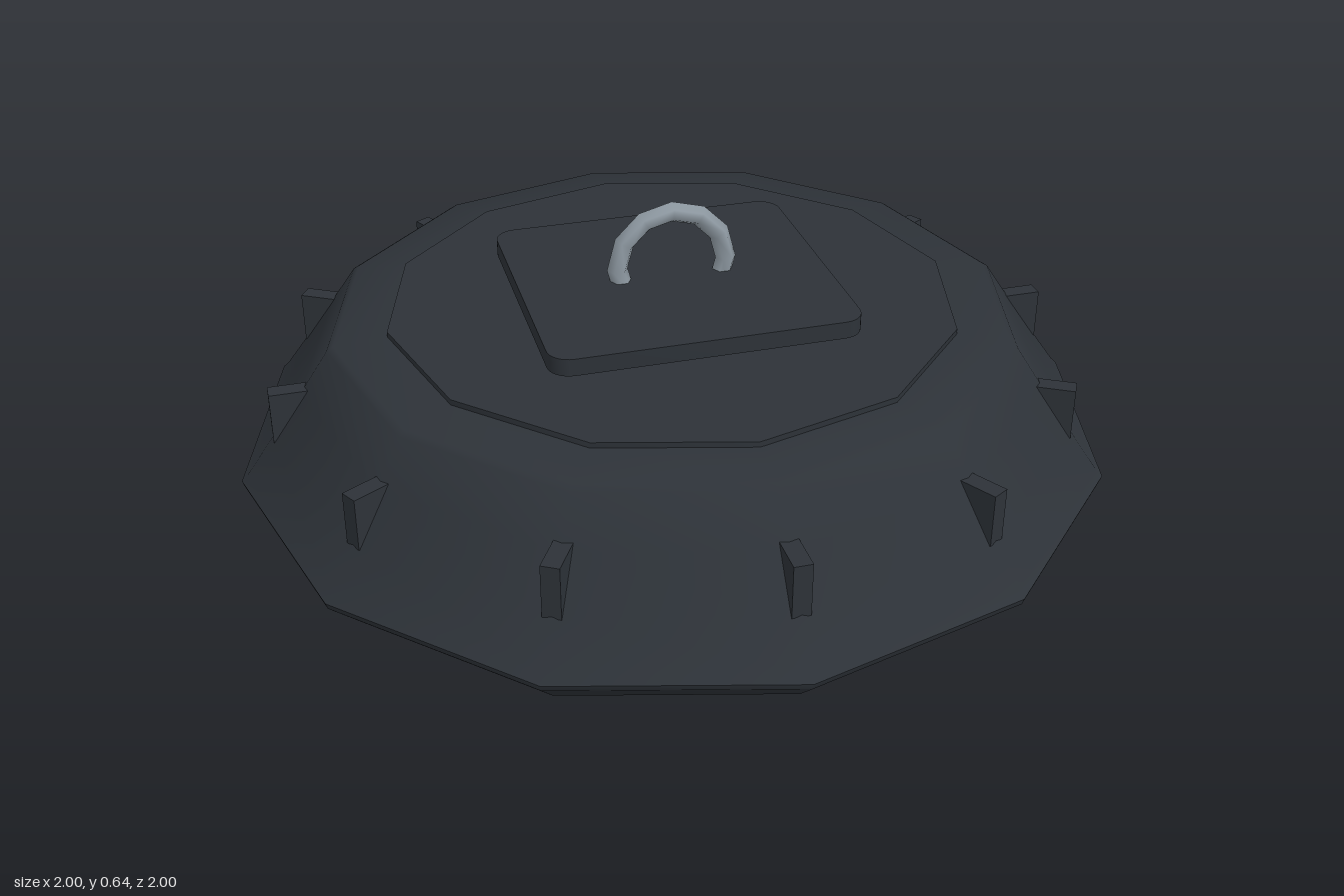
import * as THREE from 'three';
import { toCreasedNormals } from 'three/addons/utils/BufferGeometryUtils.js';

const SIDES = 12;
const mat = (color) => new THREE.MeshStandardMaterial({ color });

export function createModel() {
  const model = new THREE.Group();
  const housingMat = mat(0x2d3238);
  const metalMat = mat(0x8f9aa3);
  const panelMat = mat(0x808080);
  const lensMat = mat(0x8a8a8a);
  const diodeMat = mat(0xb8a548);

  const add = (name, geometry, material, parent = model) => {
    const mesh = new THREE.Mesh(geometry, material);
    mesh.name = name;
    parent.add(mesh);
    return mesh;
  };
  const lathe = (profile) => toCreasedNormals(
    new THREE.LatheGeometry(profile.map(([r, y]) => new THREE.Vector2(r, y)), SIDES), 0.6);

  // Twelve-sided shell: inner lip, flared rim, sloping wall and shoulder
  add('housing', lathe([
    [0.88, 0.035], [0.885, 0.005], [0.93, 0], [0.995, 0.065], [1, 0.08], [0.985, 0.095],
    [0.92, 0.185], [0.85, 0.285], [0.785, 0.38], [0.77, 0.39], [0.64, 0.398],
  ]), housingMat);

  // Raised cap on the shoulder
  add('topCap', lathe([[0.65, 0.39], [0.65, 0.41], [0, 0.41]]), housingMat);

  // Cooling fins on each corner of the wall
  const fins = new THREE.Group();
  fins.name = 'coolingFins';
  model.add(fins);
  for (let i = 0; i < SIDES; i++) {
    const a = (i / SIDES) * Math.PI * 2;
    const fin = add('coolingFin', new THREE.BoxGeometry(0.12, 0.12, 0.04), housingMat, fins);
    fin.position.set(0.86 * Math.cos(a), 0.24, 0.86 * Math.sin(a));
    fin.rotation.y = -a;
  }

  // Mounting plate with rounded corners, held just above the cap
  const w = 0.35, d = 0.325, r = 0.05;
  const outline = new THREE.Shape();
  outline.absarc(w - r, d - r, r, 0, Math.PI / 2);
  outline.absarc(r - w, d - r, r, Math.PI / 2, Math.PI);
  outline.absarc(r - w, r - d, r, Math.PI, Math.PI * 1.5);
  outline.absarc(w - r, r - d, r, Math.PI * 1.5, Math.PI * 2);
  const plate = add('mountingPlate', toCreasedNormals(
    new THREE.ExtrudeGeometry(outline, { depth: 0.04, bevelEnabled: false, curveSegments: 4 }), 0.6), housingMat);
  plate.rotation.x = -Math.PI / 2;
  plate.position.y = 0.425;

  // Hanging ring
  add('hangingRing', new THREE.TorusGeometry(0.127, 0.024, 6, 12), metalMat).position.y = 0.493;

  // Underside: metal trim, light panel and centre cover
  add('panelTrim', lathe([[0.85, 0.045], [0.85, 0.025], [0.885, 0.018]]), metalMat).material.side = THREE.DoubleSide;
  const panel = add('lightPanel', new THREE.CylinderGeometry(0.88, 0.88, 0.02, SIDES), panelMat);
  panel.position.y = 0.045;
  add('centreCover', new THREE.CylinderGeometry(0.1, 0.1, 0.01, 24), mat(0x5c646b)).position.y = 0.031;

  // Three rings of diodes, each on a round lens base
  const diodes = new THREE.Group();
  diodes.name = 'diodes';
  model.add(diodes);
  const lensGeo = new THREE.CylinderGeometry(0.025, 0.025, 0.006, 12);
  const diodeGeo = new THREE.BoxGeometry(0.022, 0.008, 0.022);
  for (const [radius, count] of [[0.35, 12], [0.55, 24], [0.74, 36]]) {
    for (let i = 0; i < count; i++) {
      const a = (i / count) * Math.PI * 2;
      const x = radius * Math.cos(a), z = radius * Math.sin(a);
      add('diodeBase', lensGeo, lensMat, diodes).position.set(x, 0.034, z);
      const diode = add('diode', diodeGeo, diodeMat, diodes);
      diode.position.set(x, 0.03, z);
      diode.rotation.y = -a;
    }
  }
  return model;
}
